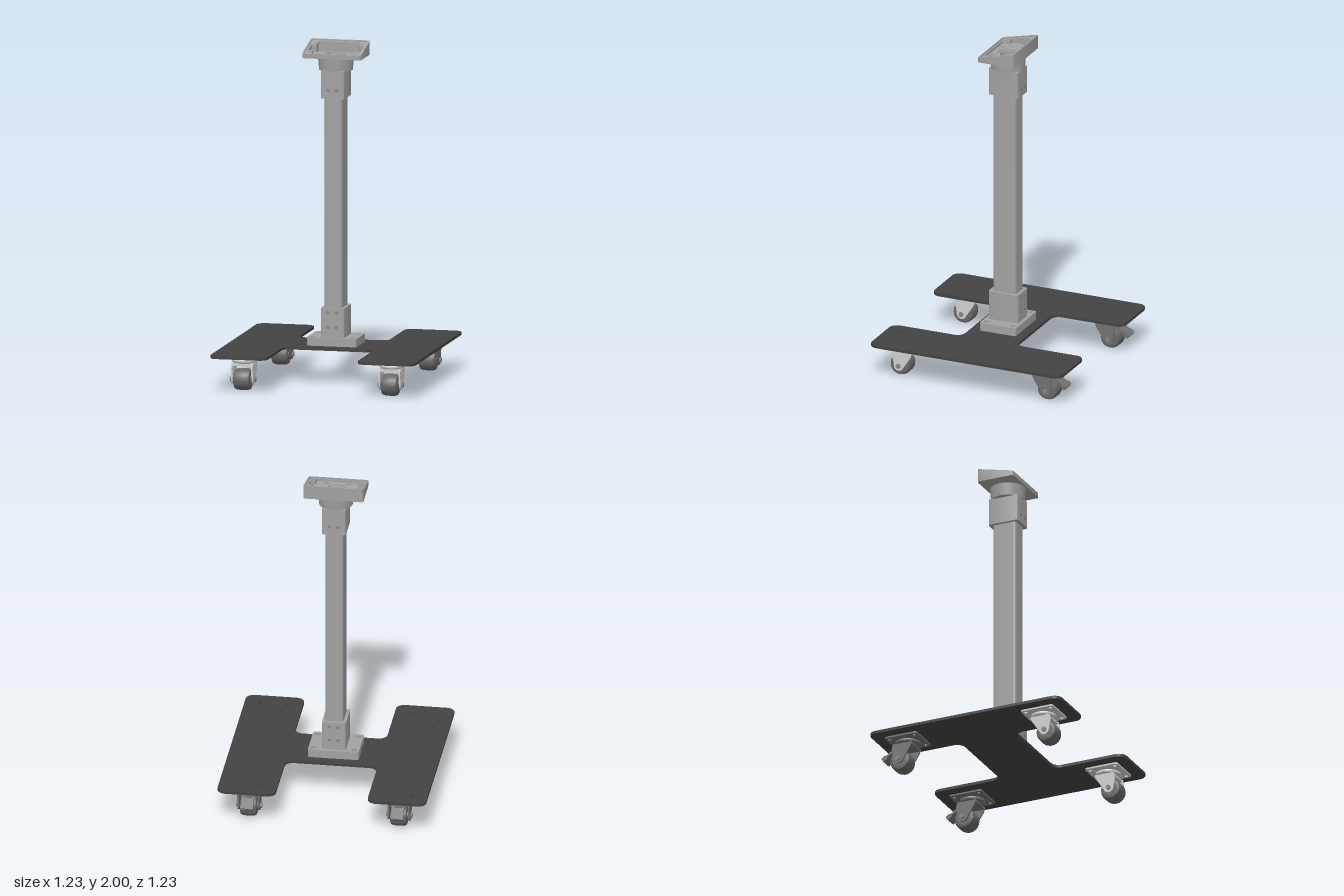
import * as THREE from 'three';
import { toCreasedNormals } from 'three/addons/utils/BufferGeometryUtils.js';

const material = (name, color) => {
  const m = new THREE.MeshStandardMaterial({ color });
  m.name = name;
  return m;
};

// Rounded rectangle with half sizes a, b
function roundRect(a, b, r, Type = THREE.Shape) {
  const s = new Type();
  s.moveTo(a, -b + r);
  s.absarc(a - r, b - r, r, 0, Math.PI / 2);
  s.absarc(-a + r, b - r, r, Math.PI / 2, Math.PI);
  s.absarc(-a + r, -b + r, r, Math.PI, Math.PI * 1.5);
  s.absarc(a - r, -b + r, r, Math.PI * 1.5, Math.PI * 2);
  s.closePath();
  return s;
}

function circle(x, y, r) {
  const p = new THREE.Path();
  p.absarc(x, y, r, 0, Math.PI * 2);
  return p;
}

// Capsule-shaped slot along a diagonal of the given quadrant
function slot(sx, sy) {
  const a = Math.atan2(sy, sx), p = new THREE.Path();
  p.absarc(sx * 0.074, sy * 0.08, 0.008, a - Math.PI / 2, a + Math.PI / 2);
  p.absarc(sx * 0.058, sy * 0.063, 0.008, a + Math.PI / 2, a + Math.PI * 1.5);
  p.closePath();
  return p;
}

// Polygon with every corner rounded by r
function roundPolygon(pts, r, Type) {
  const s = new Type(), v = pts.map(p => new THREE.Vector2(...p)), n = v.length;
  v.forEach((c, i) => {
    const p = v[(i + n - 1) % n], q = v[(i + 1) % n];
    const a = c.clone().add(p.clone().sub(c).setLength(r));
    const b = c.clone().add(q.clone().sub(c).setLength(r));
    if (i) s.lineTo(a.x, a.y); else s.moveTo(a.x, a.y);
    const k = 0.55, h1 = a.clone().lerp(c, k), h2 = b.clone().lerp(c, k);
    s.bezierCurveTo(h1.x, h1.y, h2.x, h2.y, b.x, b.y);
  });
  s.closePath();
  return s;
}

// Upright slab from a plan shape; bottom and top are heights or functions of z
function slab(shape, bottom, top, holes = []) {
  shape.holes.push(...holes);
  const g = new THREE.ExtrudeGeometry(shape, { depth: 1, bevelEnabled: false, curveSegments: 8 });
  const p = g.attributes.position, at = (f, z) => (typeof f === 'function' ? f(z) : f);
  for (let i = 0; i < p.count; i++) {
    const z = -p.getY(i);
    p.setXYZ(i, p.getX(i), at(p.getZ(i) > 0.5 ? top : bottom, z), z);
  }
  return toCreasedNormals(g, 0.6);
}

const lathe = (pts, n = 40) =>
  toCreasedNormals(new THREE.LatheGeometry(pts.map(p => new THREE.Vector2(...p)), n), 0.6);

const quadrants = [[1, 1], [-1, 1], [-1, -1], [1, -1]];

export function createModel() {
  const model = new THREE.Group();
  const metal = material('column grey', 0xa2a2a2);
  const dark = material('base plate charcoal', 0x434343);
  const screwGrey = material('screw grey', 0x858585);
  const lightSteel = material('front caster steel', 0xcfcfcf);
  const darkSteel = material('rear caster steel', 0x727272);
  const rubber = material('wheel grey', 0x686868);

  const add = (name, geo, mat, parent = model) => {
    const m = new THREE.Mesh(geo, mat);
    m.name = name;
    parent.add(m);
    return m;
  };

  // H-shaped base plate with caster bolt holes
  const o = 0.616, i = 0.272, c = 0.173;
  const outline = [[o, -o], [o, o], [i, o], [i, c], [-i, c], [-i, o],
    [-o, o], [-o, -o], [-i, -o], [-i, -c], [i, -c], [i, -o]];
  const boltHoles = [];
  for (const [sx, sz] of quadrants)
    for (const x of [0.365, 0.522])
      for (const z of [0.36, 0.518]) boltHoles.push(circle(sx * x, sz * z, 0.011));
  add('basePlate', slab(roundPolygon(outline, 0.05, THREE.Shape), 0.2, 0.217, boltHoles), dark);

  // Foot flange with recessed bolts
  const inner = () => roundRect(0.045, 0.066, 0.008, THREE.Path);
  const recesses = quadrants.map(([x, z]) => circle(x * 0.12, z * 0.085, 0.017));
  add('footFlange', slab(roundRect(0.15, 0.116, 0.012), 0.217, 0.266, [inner(), ...recesses]), metal);
  for (const [x, z] of quadrants)
    add('footBolt', new THREE.CylinderGeometry(0.012, 0.012, 0.03, 16), screwGrey)
      .position.set(x * 0.12, 0.232, z * 0.085);

  // Hollow column and its two clamping sleeves
  add('column', slab(roundRect(0.053, 0.074, 0.014), 0.266, 1.845, [inner()]), metal);
  const sleeve = (name, y0, y1, rows) => {
    const hole = roundRect(0.0525, 0.0735, 0.014, THREE.Path);
    add(name, slab(roundRect(0.071, 0.095, 0.012), y0, y1, [hole]), metal);
    for (const y of rows)
      for (const x of [-0.025, 0.025])
        for (const s of [-1, 1]) {
          const g = new THREE.CylinderGeometry(0.01, 0.01, 0.006, 16).rotateX(Math.PI / 2);
          add('sleeveScrew', g, screwGrey).position.set(x, y, s * 0.094);
        }
  };
  sleeve('lowerSleeve', 0.266, 0.44, [0.327, 0.412]);
  sleeve('upperSleeve', 1.68, 1.845, [1.73]);

  // Round collar under the head
  add('collar', lathe([[0.047, 1.842], [0.099, 1.842], [0.106, 1.92], [0.047, 1.92], [0.047, 1.842]]), metal);

  // Sloping head tray: floor, slotted floor, walls with screw bosses, raised lip
  const slope = z => 1.973 - z * 0.235;
  const ledge = z => slope(z) - 0.007;
  const body = () => roundRect(0.178, 0.116, 0.015);
  const head = new THREE.Group();
  head.name = 'headTray';
  model.add(head);
  add('trayFloor', slab(body(), 1.918, 1.924, [circle(0, 0, 0.047)]), metal, head);
  add('slottedFloor', slab(body(), 1.924, 1.93,
    [circle(0, 0, 0.062), ...quadrants.map(q => slot(...q))]), metal, head);
  const cavity = [[0.157, -0.043], [0.157, 0.043], [0.127, 0.043], [0.127, 0.094],
    [-0.127, 0.094], [-0.127, 0.043], [-0.157, 0.043], [-0.157, -0.043],
    [-0.127, -0.043], [-0.127, -0.094], [0.127, -0.094], [0.127, -0.043]];
  const bossHoles = quadrants.map(([x, z]) => circle(x * 0.142, z * 0.063, 0.008));
  add('trayWall', slab(body(), 1.93, ledge, [roundPolygon(cavity, 0.008, THREE.Path), ...bossHoles]), metal, head);
  add('trayLip', slab(body(), ledge, slope, [roundRect(0.168, 0.106, 0.012, THREE.Path)]), metal, head);

  // Swivel caster, trailing towards local +z
  function caster(steel, brake) {
    const g = new THREE.Group();
    g.name = brake ? 'rearBrakeCaster' : 'frontCaster';
    const wz = 0.033, wy = 0.065;
    add('mountPlate', slab(roundRect(0.104, 0.104, 0.015), 0.19, 0.2,
      quadrants.map(([x, z]) => circle(x * 0.0785, z * 0.079, 0.011))), steel, g);
    add('swivelBearing', lathe([[0, 0.148], [0.058, 0.148], [0.064, 0.162], [0.074, 0.166],
      [0.077, 0.174], [0.074, 0.184], [0.06, 0.191], [0, 0.191]]), steel, g);
    // Fork cheeks, drawn in (z, y) and turned to face sideways
    const cheek = new THREE.Shape();
    cheek.moveTo(-0.055, 0.16);
    cheek.lineTo(-0.045, 0.13);
    cheek.lineTo(wz - 0.027, wy - 0.014);
    cheek.absarc(wz, wy, 0.03, Math.PI * 1.15, Math.PI * 2.05);
    cheek.lineTo(0.073, 0.13);
    cheek.lineTo(0.066, 0.16);
    cheek.closePath();
    for (const s of [-1, 1]) {
      const geo = new THREE.ExtrudeGeometry(cheek, { depth: 0.01, bevelEnabled: false });
      geo.translate(0, 0, -0.005).rotateY(-Math.PI / 2);
      add('forkCheek', toCreasedNormals(geo, 0.6), steel, g).position.x = s * 0.061;
      add('axleNut', new THREE.CylinderGeometry(0.015, 0.015, 0.012, 6).rotateZ(Math.PI / 2), screwGrey, g)
        .position.set(s * 0.071, wy, wz);
    }
    add('forkCrown', new THREE.BoxGeometry(0.13, 0.014, 0.118), steel, g).position.set(0, 0.151, 0.005);
    // Barrel wheel with rounded shoulders
    const wheel = lathe([[0, -0.053], [0.025, -0.053], [0.025, -0.047], [0.045, -0.05], [0.058, -0.045],
      [0.064, -0.03], [0.065, 0], [0.064, 0.03], [0.058, 0.045], [0.045, 0.05], [0.025, 0.047],
      [0.025, 0.053], [0, 0.053]]).rotateZ(Math.PI / 2);
    add('wheel', wheel, rubber, g).position.set(0, wy, wz);
    // Foot brake lever
    if (brake) {
      const pedal = add('brakePedal', new THREE.BoxGeometry(0.07, 0.014, 0.09), steel, g);
      pedal.position.set(0, 0.112, 0.112);
      pedal.rotation.x = 0.6;
      const tread = add('brakeTread', new THREE.BoxGeometry(0.075, 0.026, 0.028), steel, g);
      tread.position.set(0, 0.095, 0.135);
      tread.rotation.x = 0.6;
      add('brakeArm', new THREE.BoxGeometry(0.05, 0.014, 0.04), steel, g).position.set(0, 0.14, 0.068);
    }
    return g;
  }
  for (const [sx, sz] of quadrants) {
    const g = caster(sz > 0 ? lightSteel : darkSteel, sz < 0);
    g.position.set(sx * 0.4435, 0, sz * 0.439);
    if (sz < 0) g.rotation.y = Math.PI;
    model.add(g);
  }
  return model;
}
